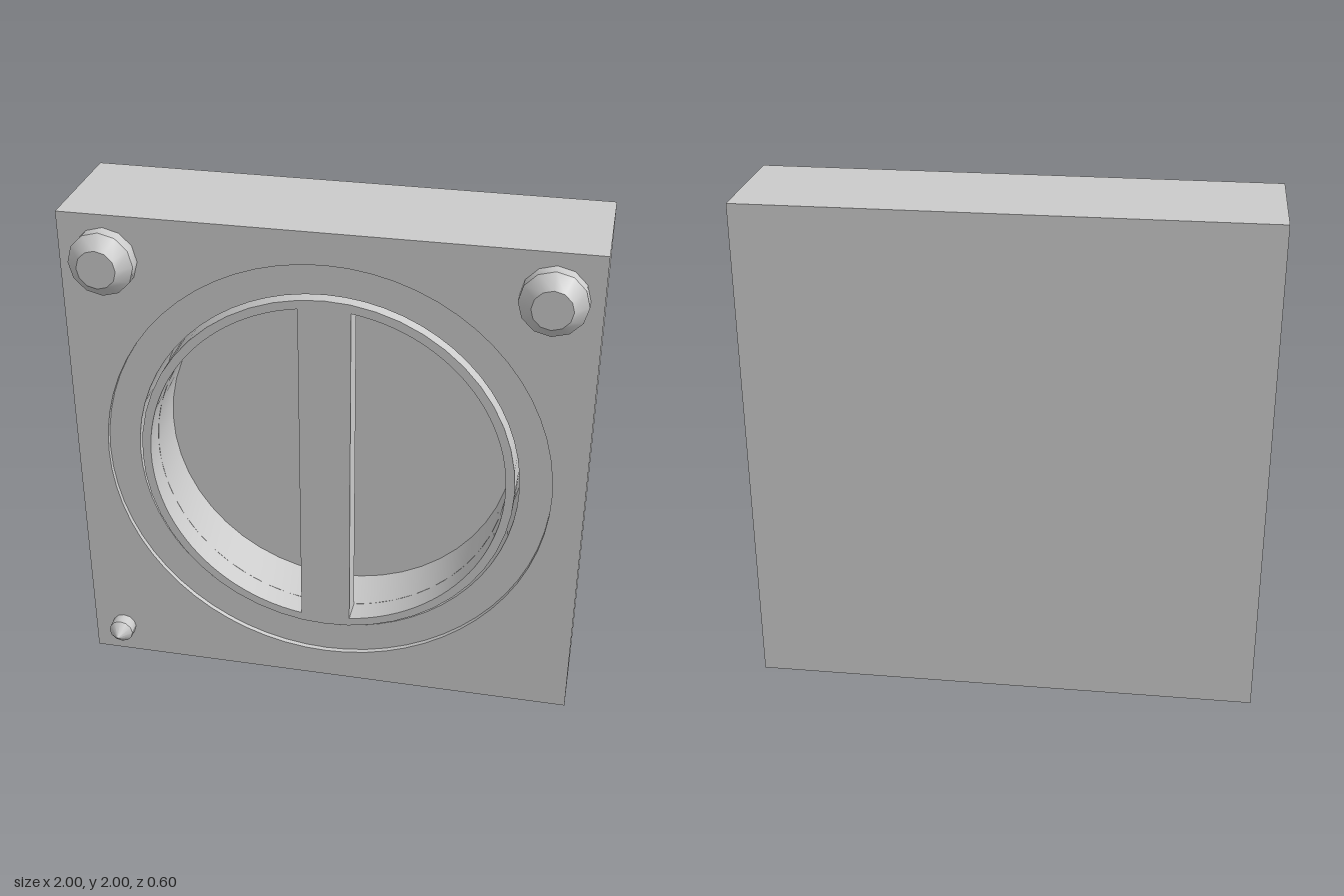
import * as THREE from 'three';
import { toCreasedNormals } from 'three/addons/utils/BufferGeometryUtils.js';

const FRONT = 0.2, BACK = -0.3, FLOOR = -0.1, CY = 1;
const material = new THREE.MeshStandardMaterial({ color: 0xcccccc });

function mesh(name, geometry, x = 0, y = 0, z = 0) {
  const m = new THREE.Mesh(geometry, material);
  m.name = name;
  m.position.set(x, y, z);
  return m;
}

// Lathe around the z axis; points are [radius, z]
function turned(points, segments) {
  const g = new THREE.LatheGeometry(points.map(([r, z]) => new THREE.Vector2(r, z)), segments);
  g.rotateX(Math.PI / 2);
  return toCreasedNormals(g, 0.7);
}

const circle = (Type, r) => new Type().absarc(0, 0, r, 0, Math.PI * 2, false);

function extruded(shape, depth) {
  const g = new THREE.ExtrudeGeometry(shape, { depth, bevelEnabled: false, curveSegments: 24 });
  return toCreasedNormals(g, 0.7);
}

export function createModel() {
  const model = new THREE.Group();
  model.name = 'valvePanel';

  // Housing: box without its front, closed by a pierced face and a stepped recess
  const housing = new THREE.Group();
  housing.name = 'housing';
  const box = new THREE.BoxGeometry(2, 2, FRONT - BACK);
  box.setIndex(Array.from(box.index.array).filter((_, i) => i < 24 || i >= 30));
  housing.add(mesh('housingSides', box, 0, CY, (FRONT + BACK) / 2));

  const face = new THREE.Shape([[-1, -1], [1, -1], [1, 1], [-1, 1]].map(([x, y]) => new THREE.Vector2(x, y)));
  face.holes.push(circle(THREE.Path, 0.875));
  housing.add(mesh('housingFace', new THREE.ShapeGeometry(face, 32), 0, CY, FRONT));

  const recess = [[0.875, FRONT], [0.875, FRONT - 0.02], [0.75, FRONT - 0.02], [0.75, FLOOR], [0, FLOOR]];
  housing.add(mesh('recess', turned(recess, 64), 0, CY, 0));
  model.add(housing);

  // Dial: open ring with a flush central grip bar
  const dial = new THREE.Group();
  dial.name = 'dial';
  const front = circle(THREE.Shape, 0.735);
  const half = Math.acos(0.1 / 0.7);
  for (const mid of [0, Math.PI]) {
    front.holes.push(new THREE.Path().absarc(0, 0, 0.7, mid - half, mid + half, false).closePath());
  }
  dial.add(mesh('dialFrontAndBar', extruded(front, 0.1), 0, CY, FRONT - 0.1));
  const ring = circle(THREE.Shape, 0.735);
  ring.holes.push(circle(THREE.Path, 0.7));
  dial.add(mesh('dialRing', extruded(ring, FRONT - 0.1 - FLOOR), 0, CY, FLOOR));
  model.add(dial);

  // Chamfered buttons in the upper corners
  const button = turned([[0.125, 0], [0.125, 0.05], [0.075, 0.1], [0, 0.1]], 12);
  for (const side of [-1, 1]) {
    model.add(mesh(side < 0 ? 'rightButton' : 'leftButton', button, side * 0.825, 1.825, FRONT));
  }

  // Small pointed pin in the lower corner
  model.add(mesh('pin', turned([[0.05, 0], [0.05, 0.05], [0, 0.1]], 12), -0.875, 0.125, FRONT));

  return model;
}
